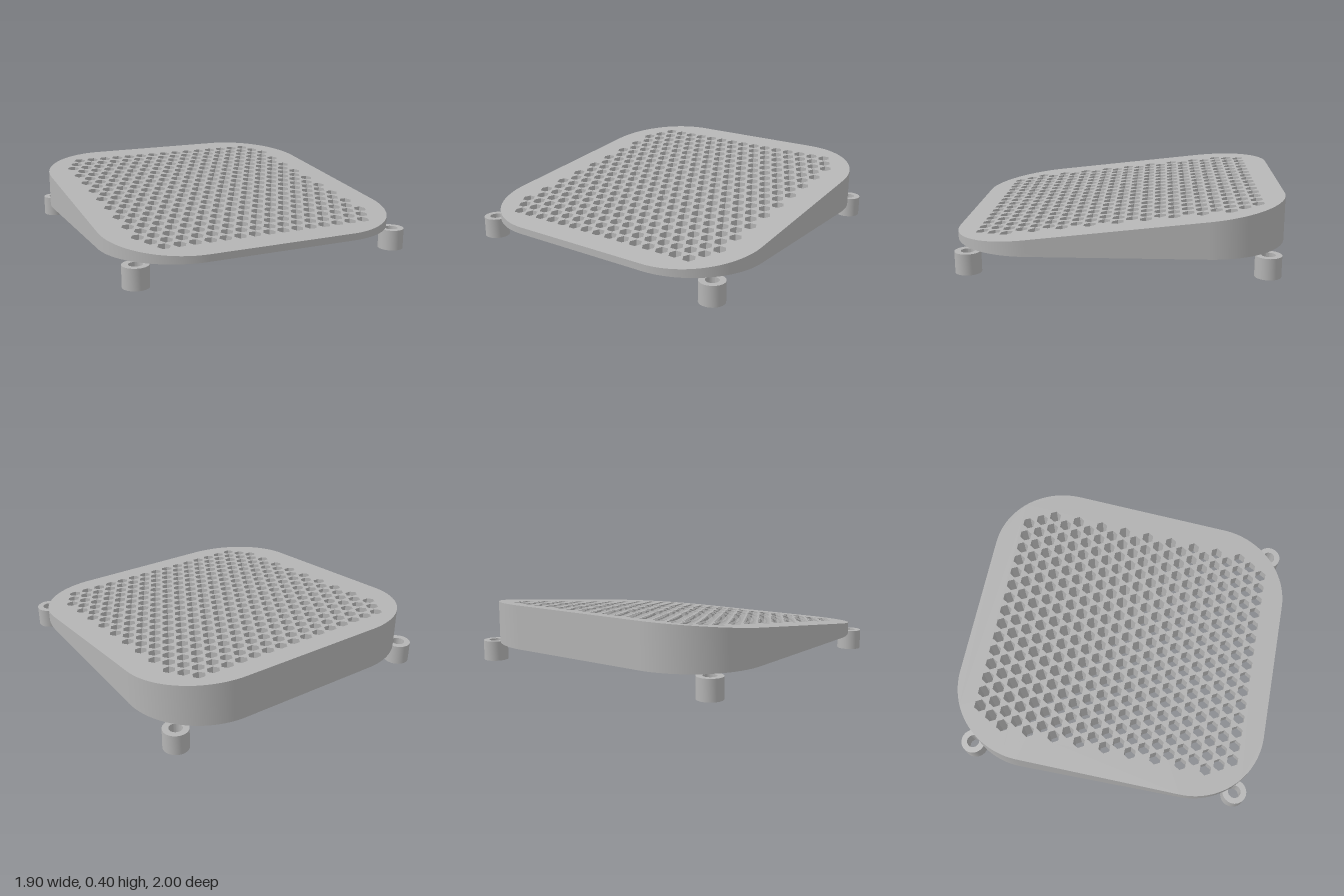
import * as THREE from 'three';
import { toCreasedNormals } from 'three/addons/utils/BufferGeometryUtils.js';

const HALF_X = 0.95, HALF_Z = 1, CORNER = 0.48;
const BASE_Y = 0.127, FRONT_Y = 0.17, BACK_Y = 0.4;
const HOLE_R = 0.04, PITCH_X = 0.0947, PITCH_Z = 0.082;

function roundedOutline() {
  const s = new THREE.Shape();
  const cx = HALF_X - CORNER, cz = HALF_Z - CORNER;
  s.absarc(cx, cz, CORNER, 0, Math.PI / 2);
  s.absarc(-cx, cz, CORNER, Math.PI / 2, Math.PI);
  s.absarc(-cx, -cz, CORNER, Math.PI, Math.PI * 1.5);
  s.absarc(cx, -cz, CORNER, Math.PI * 1.5, Math.PI * 2);
  s.closePath();
  return s;
}

function hexHole(x, y) {
  const points = [];
  for (let k = 0; k < 6; k++) {
    const a = -k * Math.PI / 3;
    points.push(new THREE.Vector2(x + HOLE_R * Math.cos(a), y + HOLE_R * Math.sin(a)));
  }
  return new THREE.Path(points);
}

// Rounded plate with a staggered hexagon grid, its top sheared into a wedge
function wedgeGeometry() {
  const shape = roundedOutline();
  for (let row = -10; row <= 10; row++) {
    const count = Math.abs(row) === 10 ? 15 : row % 2 === 0 ? 17 : 16;
    for (let i = 0; i < count; i++) {
      shape.holes.push(hexHole((i - (count - 1) / 2) * PITCH_X, row * PITCH_Z));
    }
  }
  const geo = new THREE.ExtrudeGeometry(shape, { depth: 1, bevelEnabled: false, curveSegments: 20 });
  geo.rotateX(-Math.PI / 2);
  const p = geo.attributes.position;
  for (let i = 0; i < p.count; i++) {
    const top = THREE.MathUtils.mapLinear(p.getZ(i), HALF_Z, -HALF_Z, FRONT_Y, BACK_Y);
    p.setY(i, THREE.MathUtils.lerp(BASE_Y, top, p.getY(i)));
  }
  return toCreasedNormals(geo, 0.5);
}

// Hollow cylindrical foot
function footGeometry() {
  const outer = 0.077, inner = 0.04;
  const profile = [[inner, 0], [outer, 0], [outer, BASE_Y], [inner, BASE_Y], [inner, 0]]
    .map(([r, y]) => new THREE.Vector2(r, y));
  return toCreasedNormals(new THREE.LatheGeometry(profile, 40), 0.5);
}

export function createModel() {
  const model = new THREE.Group();
  model.name = 'perforatedWedgeStand';
  const grey = new THREE.MeshStandardMaterial({ color: 0xb4b4b4 });
  grey.name = 'plain grey';

  const plate = new THREE.Mesh(wedgeGeometry(), grey);
  plate.name = 'wedgePlate';
  model.add(plate);

  // One foot at each corner
  const footGeo = footGeometry();
  for (const x of [-1, 1]) {
    for (const z of [-1, 1]) {
      const foot = new THREE.Mesh(footGeo, grey);
      foot.name = (z > 0 ? 'front' : 'back') + (x > 0 ? 'Left' : 'Right') + 'Foot';
      foot.position.set(x * 0.848, 0, z * 0.866);
      model.add(foot);
    }
  }
  return model;
}
